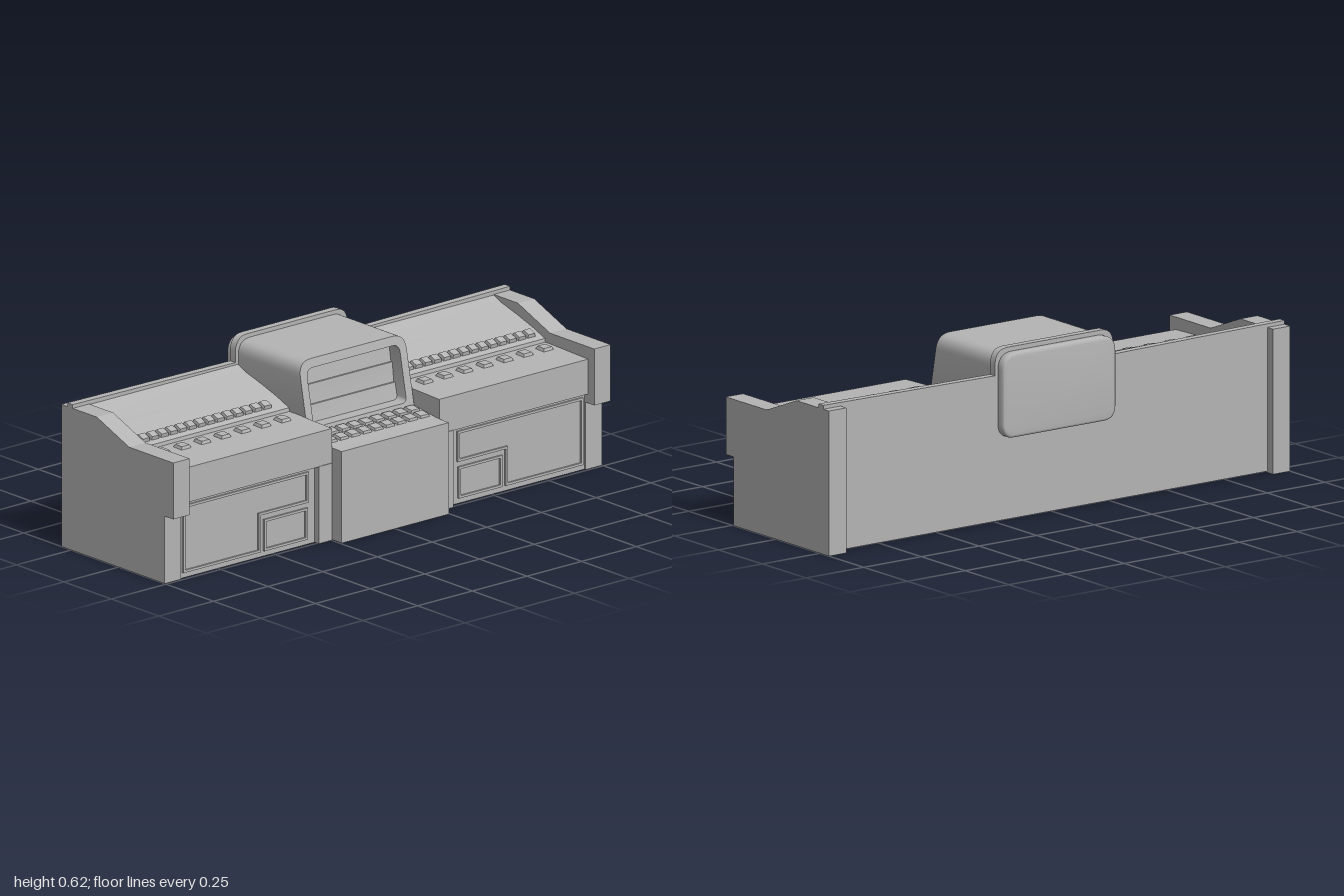
import * as THREE from 'three';
import { toCreasedNormals } from 'three/addons/utils/BufferGeometryUtils.js';

const grey = new THREE.MeshStandardMaterial({ color: 0xb4b4b4 });
grey.name = 'console grey';

function add(parent, name, geometry) {
  const mesh = new THREE.Mesh(geometry, grey);
  mesh.name = name;
  parent.add(mesh);
  return mesh;
}

// Box given by its limits
function box(parent, name, x0, x1, y0, y1, z0, z1) {
  const mesh = add(parent, name, new THREE.BoxGeometry(x1 - x0, y1 - y0, z1 - z0));
  mesh.position.set((x0 + x1) / 2, (y0 + y1) / 2, (z0 + z1) / 2);
  return mesh;
}

// Side profile of [z, y] points swept from x0 to x1
function sweepX(parent, name, points, x0, x1) {
  const shape = new THREE.Shape(points.map(([z, y]) => new THREE.Vector2(-z, y)));
  const geometry = new THREE.ExtrudeGeometry(shape, { depth: x1 - x0, bevelEnabled: false });
  geometry.rotateY(Math.PI / 2).translate(x0, 0, 0);
  return add(parent, name, toCreasedNormals(geometry, 0.3));
}

// Rounded rectangle with separate radii for the bottom and top corners
function rounded(path, w, y0, y1, rb, rt) {
  path.moveTo(-w + rb, y0);
  path.lineTo(w - rb, y0);
  path.quadraticCurveTo(w, y0, w, y0 + rb);
  path.lineTo(w, y1 - rt);
  path.quadraticCurveTo(w, y1, w - rt, y1);
  path.lineTo(-w + rt, y1);
  path.quadraticCurveTo(-w, y1, -w, y1 - rt);
  path.lineTo(-w, y0 + rb);
  path.quadraticCurveTo(-w, y0, -w + rb, y0);
  return path;
}

// Raised key with a smaller top, tilted to the desk
function key(parent, name, size, height, x, y, z, tilt) {
  const geometry = new THREE.CylinderGeometry(size * 0.55, size * 0.707, height, 4, 1);
  geometry.rotateY(Math.PI / 4);
  const mesh = add(parent, name, geometry.toNonIndexed());
  mesh.geometry.computeVertexNormals();
  mesh.position.set(x, y, z);
  mesh.rotation.x = tilt;
}

// Thin raised border around a polygon of [x, y] points
function border(parent, name, points, z) {
  const t = 0.009;
  points.forEach(([ax, ay], i) => {
    const [bx, by] = points[(i + 1) % points.length];
    box(parent, name, Math.min(ax, bx) - t / 2, Math.max(ax, bx) + t / 2,
      Math.min(ay, by) - t / 2, Math.max(ay, by) + t / 2, z - 0.004, z + 0.007);
  });
}

const deskTop = [[0.255, 0.405], [0.06, 0.411], [0.03, 0.411], [0.028, 0.424],
  [-0.04, 0.45], [-0.12, 0.475], [-0.2, 0.497], [-0.245, 0.516], [-0.268, 0.516]];

// Right or left half of the desk, mirrored by side
function buildWing(group, side) {
  const wing = new THREE.Group();
  wing.name = side > 0 ? 'leftWing' : 'rightWing';
  const span = (a, b) => (side > 0 ? [a, b] : [-b, -a]);
  const sbox = (name, a, b, ...rest) => box(wing, name, ...span(a, b), ...rest);

  // End panel
  sweepX(wing, 'endPanel', [[0.243, 0], [0.243, 0.245], [0.288, 0.245], [0.288, 0.45],
    [0.055, 0.45], [-0.115, 0.517], [-0.302, 0.517], [-0.302, 0]], ...span(0.925, 1));

  // Hollow desk: sloping top and front fascia
  const inner = [...deskTop].reverse().map(([z, y]) => [Math.min(z, 0.235), y - 0.02]);
  sweepX(wing, 'deskTop', [[0.235, 0.278], [0.255, 0.278], ...deskTop, ...inner], ...span(0.245, 0.925));
  // Solid cheek beside the centre
  sweepX(wing, 'deskCheek', [[0.23, 0], [0.23, 0.28], [0.25, 0.28], [0.25, 0.4],
    [0.03, 0.405], [-0.25, 0.505], [-0.25, 0]], ...span(0.247, 0.265));

  // Lower front, pillar and cabinet doors
  sbox('frontPanel', 0.25, 0.93, 0, 0.285, 0.222, 0.236);
  sbox('pillar', 0.247, 0.308, 0, 0.28, 0.222, 0.258);
  const flip = pts => pts.map(([x, y]) => [x * side, y]);
  border(wing, 'largeDoorBorder', flip([[0.345, 0.26], [0.91, 0.26], [0.91, 0.024],
    [0.565, 0.024], [0.565, 0.158], [0.345, 0.158]]), 0.236);
  border(wing, 'smallDoorBorder', flip([[0.35, 0.13], [0.54, 0.13], [0.54, 0.024], [0.35, 0.024]]), 0.236);

  // Key rows
  for (let i = 0; i < 7; i++) key(wing, 'largeKey', 0.046, 0.014, side * (0.325 + i * 0.0915), 0.414, 0.085, 0.03);
  for (let i = 0; i < 14; i++) key(wing, 'smallKey', 0.038, 0.02, side * (0.325 + i * 0.0428), 0.441, -0.008, 0.37);
  group.add(wing);
}

export function createModel() {
  const group = new THREE.Group();
  group.name = 'controlConsole';
  buildWing(group, 1);
  buildWing(group, -1);
  box(group, 'backPanel', -0.93, 0.93, 0.005, 0.515, -0.27, -0.25);

  // Centre pedestal: open underneath
  const pedestal = new THREE.Group();
  pedestal.name = 'pedestal';
  sweepX(pedestal, 'pedestalShell', [[0.305, 0], [0.305, 0.333], [0.24, 0.335], [0.1, 0.355],
    [-0.25, 0.355], [-0.25, 0.335], [0.1, 0.335], [0.285, 0.313], [0.285, 0]], -0.245, 0.245);
  for (const s of [-1, 1]) {
    box(pedestal, 'pedestalSide', s * 0.234 - 0.01, s * 0.234 + 0.01, 0, 0.33, 0.2, 0.303);
  }
  for (let row = 0; row < 2; row++) {
    for (let i = 0; i < 9; i++) {
      key(pedestal, 'pedestalKey', 0.046, 0.02, (i - 4) * 0.0525, 0.347 - row * 0.007, 0.15 + row * 0.05, 0.14);
    }
  }
  group.add(pedestal);

  // Display hood with a slanted open front
  const hood = new THREE.Group();
  hood.name = 'displayHood';
  const outline = rounded(new THREE.Shape(), 0.243, 0.34, 0.602, 0.005, 0.055);
  outline.holes.push(rounded(new THREE.Path(), 0.212, 0.368, 0.57, 0.02, 0.03));
  const shell = new THREE.ExtrudeGeometry(outline, { depth: 0.375, bevelEnabled: false, curveSegments: 8 });
  shell.translate(0, 0, -0.27);
  const pos = shell.attributes.position;
  for (let i = 0; i < pos.count; i++) {
    if (pos.getZ(i) > 0) pos.setZ(i, 0.105 - (pos.getY(i) - 0.45) * 0.2);
  }
  add(hood, 'hoodShell', toCreasedNormals(shell, 0.5));
  // Recessed screen in shallow slanted bands
  sweepX(hood, 'screen', [[0.075, 0.36], [0.06, 0.427], [0.053, 0.427], [0.045, 0.497],
    [0.038, 0.497], [0.025, 0.575], [-0.02, 0.575], [-0.02, 0.36]], -0.22, 0.22);

  // Rounded rear cover
  const cover = new THREE.ExtrudeGeometry(rounded(new THREE.Shape(), 0.235, 0.31, 0.592, 0.04, 0.05),
    { depth: 0.02, bevelEnabled: true, bevelSize: 0.01, bevelThickness: 0.01, bevelSegments: 3, curveSegments: 8 });
  cover.translate(0, 0, -0.294);
  add(hood, 'rearCover', toCreasedNormals(cover, 0.6));
  group.add(hood);

  // Rail along the back that arches over the hood
  const arch = new THREE.Shape();
  arch.moveTo(-0.256, 0.505);
  arch.lineTo(-0.256, 0.565);
  arch.quadraticCurveTo(-0.252, 0.617, -0.205, 0.617);
  arch.lineTo(0.205, 0.617);
  arch.quadraticCurveTo(0.252, 0.617, 0.256, 0.565);
  arch.lineTo(0.256, 0.505);
  arch.lineTo(0.235, 0.505);
  arch.lineTo(0.235, 0.55);
  arch.quadraticCurveTo(0.235, 0.595, 0.2, 0.595);
  arch.lineTo(-0.2, 0.595);
  arch.quadraticCurveTo(-0.235, 0.595, -0.235, 0.55);
  arch.lineTo(-0.235, 0.505);
  const archGeometry = new THREE.ExtrudeGeometry(arch, { depth: 0.028, bevelEnabled: false, curveSegments: 8 });
  archGeometry.translate(0, 0, -0.27);
  add(group, 'railArch', toCreasedNormals(archGeometry, 0.5));
  for (const s of [-1, 1]) {
    const rail = box(group, 'backRail', s * 0.627 - 0.373, s * 0.627 + 0.373, 0.508, 0.527, -0.27, -0.242);
    rail.rotation.z = s * 0.01;
  }
  return group;
}
